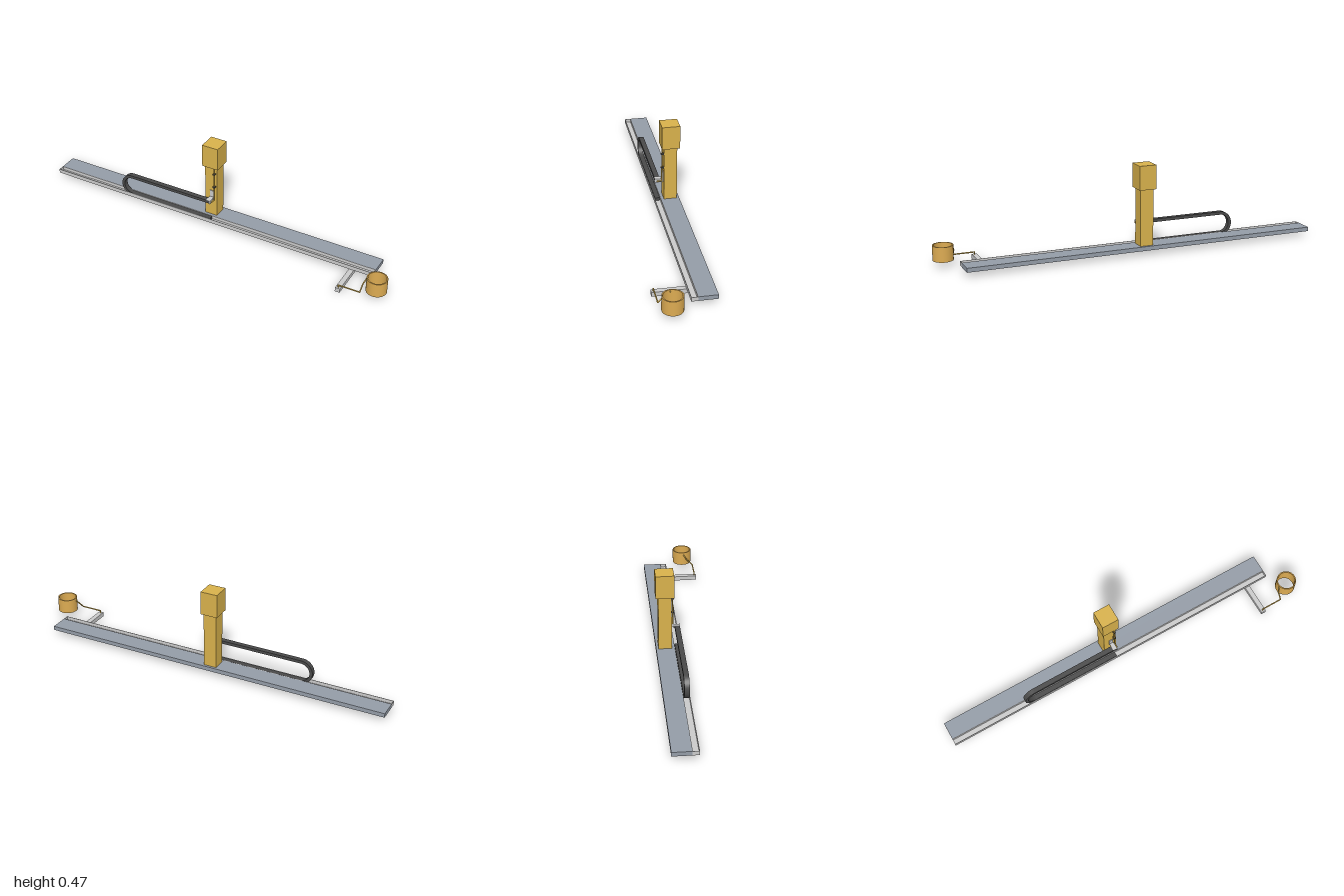
import * as THREE from 'three';

const mat = (color) => new THREE.MeshStandardMaterial({ color });
const GREY = mat(0xcccccc), STEEL = mat(0x959da8), GOLD = mat(0xd9b24c);
const ORANGE = mat(0xdcab52), DARK = mat(0x4a4a4a);

export function createModel() {
  const model = new THREE.Group();

  const add = (name, geometry, material) => {
    const mesh = new THREE.Mesh(geometry, material);
    mesh.name = name;
    model.add(mesh);
    return mesh;
  };
  // Box given by its limits on each axis
  const box = (name, material, [x0, x1], [y0, y1], [z0, z1]) =>
    add(name, new THREE.BoxGeometry(x1 - x0, y1 - y0, z1 - z0), material)
      .position.set((x0 + x1) / 2, (y0 + y1) / 2, (z0 + z1) / 2);
  // Round rod with straight runs and ball joints
  const rod = (name, material, radius, points) => {
    const pts = points.map((p) => new THREE.Vector3(...p));
    pts.forEach((p, i) => {
      add(name + 'Joint', new THREE.SphereGeometry(radius, 12, 8), material).position.copy(p);
      if (i === 0) return;
      const run = new THREE.LineCurve3(pts[i - 1], p);
      add(name, new THREE.TubeGeometry(run, 1, radius, 12), material);
    });
  };

  // Long rail
  box('rail', STEEL, [-1, 0.89], [0.025, 0.047], [-0.147, -0.052]);

  // Open cable tray along the front of the rail
  box('trayFloor', GREY, [-1, 0.89], [0.025, 0.029], [-0.052, -0.018]);
  box('trayFrontWall', GREY, [-1, 0.89], [0.029, 0.047], [-0.02, -0.018]);
  box('trayBackWall', GREY, [-1, 0.89], [0.029, 0.047], [-0.052, -0.05]);
  for (const x of [-1, 0.888]) {
    box('trayEndWall', GREY, [x, x + 0.002], [0.029, 0.047], [-0.05, -0.02]);
  }

  // Column and its head
  box('column', GOLD, [-0.09, -0.02], [0.047, 0.342], [-0.134, -0.066]);
  box('columnHead', GOLD, [-0.1, -0.01], [0.342, 0.467], [-0.147, -0.053]);

  // Cable chain: a flat band folded back on itself
  const cx = -0.518, cy = 0.094, outer = 0.064, inner = 0.048, end = -0.04;
  const band = new THREE.Shape();
  band.moveTo(end, cy + outer);
  band.lineTo(cx, cy + outer);
  band.absarc(cx, cy, outer, Math.PI / 2, Math.PI * 1.5, false);
  band.lineTo(end, cy - outer);
  band.lineTo(end, cy - inner);
  band.lineTo(cx, cy - inner);
  band.absarc(cx, cy, inner, Math.PI * 1.5, Math.PI / 2, true);
  band.lineTo(end, cy + inner);
  band.closePath();
  const chain = new THREE.ExtrudeGeometry(band, { depth: 0.026, bevelEnabled: false, curveSegments: 24 });
  add('cableChain', chain, DARK).position.z = -0.048;

  // Bracket joining the chain to the column
  box('bracketPlate', GREY, [-0.06, -0.038], [0.14, 0.198], [-0.066, -0.062]);
  box('bracketArm', GREY, [-0.06, -0.038], [0.158, 0.16], [-0.064, -0.02]);
  box('bracketClip', GREY, [-0.042, -0.037], [0.14, 0.16], [-0.053, -0.02]);

  // Pipe up the column with two clamps
  rod('pipe', GOLD, 0.0037, [[-0.033, 0.335, -0.057], [-0.033, 0.149, -0.057], [-0.033, 0.149, -0.033]]);
  for (const y of [0.228, 0.307]) {
    box('pipeClamp', DARK, [-0.039, -0.027], [y - 0.0035, y + 0.0035], [-0.066, -0.051]);
  }

  // Cross arm under the rail end
  box('crossArm', GREY, [0.76, 0.786], [0.002, 0.025], [-0.048, 0.148]);
  box('armFoot', GREY, [0.762, 0.784], [0, 0.002], [-0.046, 0.146]);

  // Bent wire carrying the ring
  rod('ringWire', GOLD, 0.0035, [
    [0.773, 0.02, 0.137], [0.773, 0.037, 0.137], [0.885, 0.037, 0.137],
    [0.887, 0.07, 0.105], [0.9, 0.1, 0.083],
  ]);

  // Open ring
  const profile = [[0.046, 0.033], [0.052, 0.033], [0.052, 0.11], [0.046, 0.11]];
  profile.forEach((p, i) => {
    const q = profile[(i + 1) % profile.length];
    const wall = new THREE.LatheGeometry([new THREE.Vector2(...p), new THREE.Vector2(...q)], 48);
    add('ring', wall, ORANGE).position.set(0.948, 0, 0.08);
  });

  return model;
}
